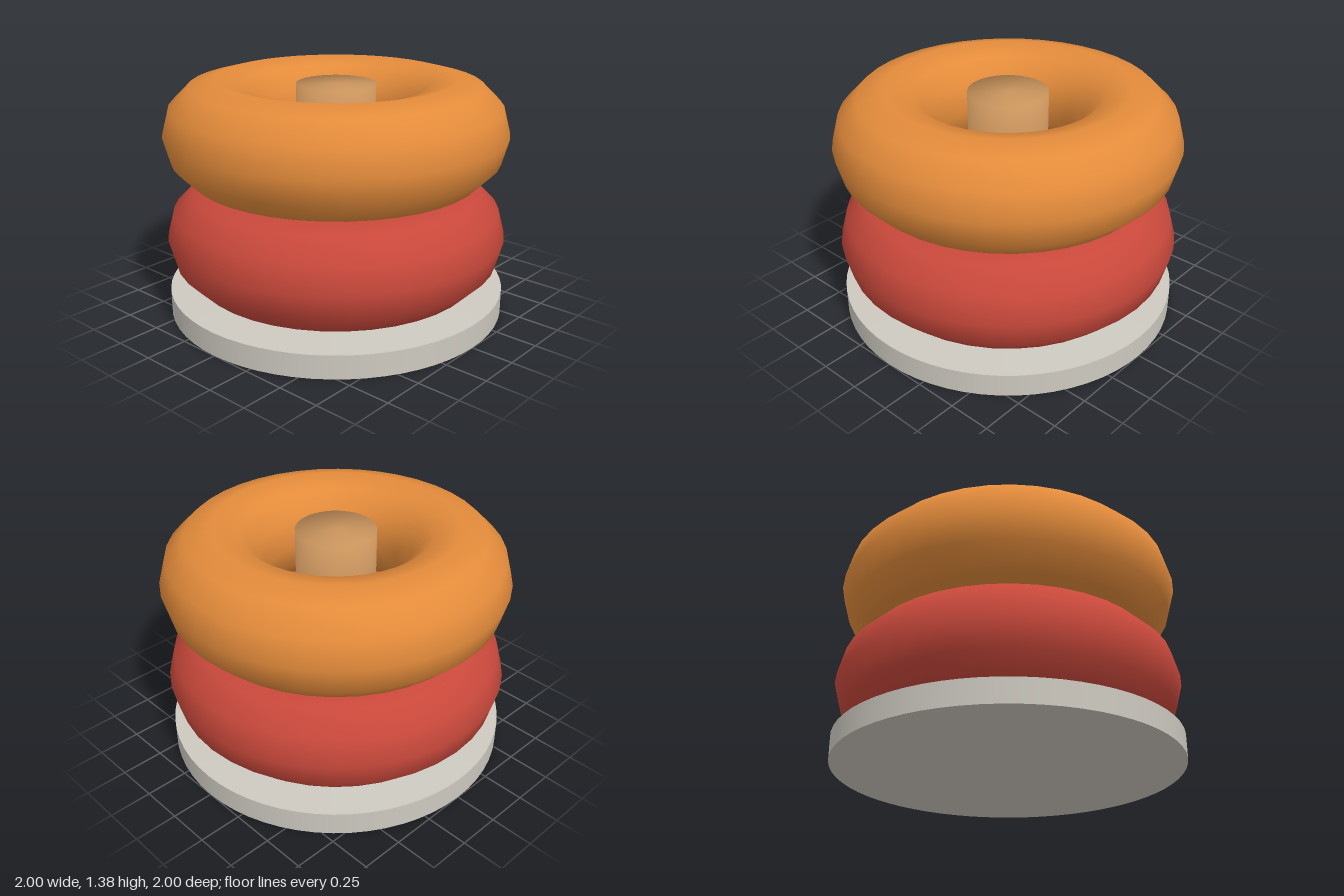
import * as THREE from 'three';

const flat = (name, color) => {
  const m = new THREE.MeshStandardMaterial({ color });
  m.name = name;
  return m;
};

export function createModel() {
  const group = new THREE.Group();
  const add = (name, geometry, material, y = 0) => {
    const mesh = new THREE.Mesh(geometry, material);
    mesh.name = name;
    mesh.position.y = y;
    group.add(mesh);
  };
  const grey = flat('warm grey', 0xcdc9c0);
  const wood = flat('wood', 0xc8935c);
  const red = flat('red', 0xc8483b);
  const orange = flat('orange', 0xe38b3b);

  // Base: flat disc with a very shallow crown on top
  const baseHeight = 0.138;
  const crown = 0.016;
  add('baseDisc', new THREE.CylinderGeometry(1, 1, baseHeight, 64), grey, baseHeight / 2);
  add('baseCrown', new THREE.CylinderGeometry(0.62, 1, crown, 64), grey, baseHeight + crown / 2 - 0.0005);

  // Pole: flat-ended peg whose shading is softened across the rims
  const poleRadius = 0.23;
  const poleBottom = 0.01;
  const poleTop = 1.345;
  const pole = new THREE.CylinderGeometry(poleRadius, poleRadius, poleTop - poleBottom, 40);
  const { position, normal } = pole.attributes;
  const n = new THREE.Vector3();
  for (let i = 0; i < position.count; i++) {
    n.fromBufferAttribute(position, i);
    n.y = Math.sign(n.y) * poleRadius;
    n.normalize();
    normal.setXYZ(i, n.x, n.y, n.z);
  }
  add('pole', pole, wood, (poleTop + poleBottom) / 2);

  // Two stacked rings
  const tube = 4 / 13;
  const ring = new THREE.TorusGeometry(1 - tube, tube, 12, 40).rotateX(Math.PI / 2);
  [['lowerRing', red], ['upperRing', orange]].forEach(([name, material], i) => {
    add(name, ring, material, baseHeight + crown + tube * (1 + 2 * i));
  });

  return group;
}
